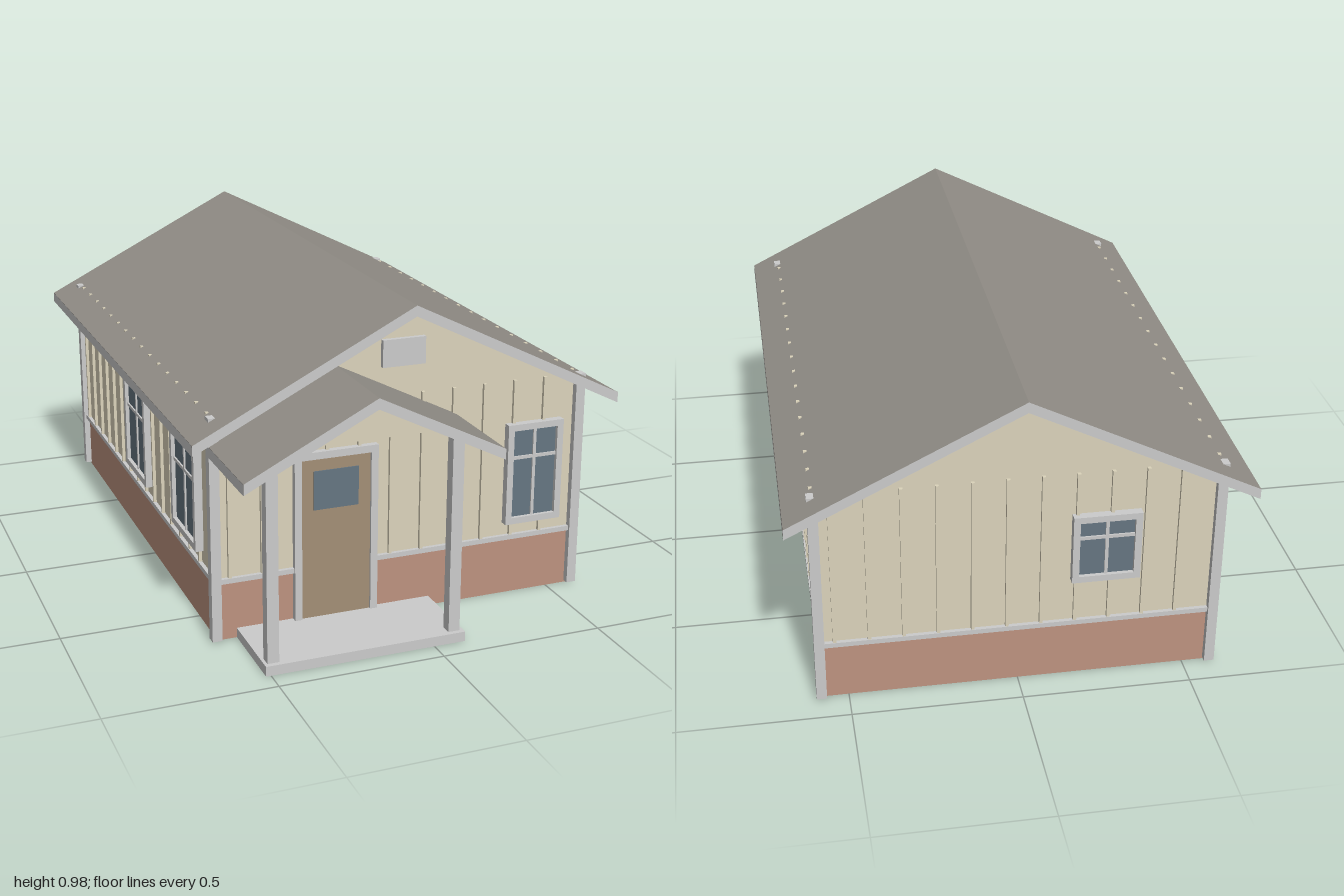
import * as THREE from 'three';

const mat = (color, side = THREE.FrontSide) =>
  new THREE.MeshStandardMaterial({ color, side, flatShading: true });
const TRIM = mat(0xcccccc);
const SIDING = mat(0xdcd4bc, THREE.DoubleSide);
const BRICK = mat(0xbe9380, THREE.DoubleSide);
const ROOF = mat(0x938f88);
const DOOR = mat(0xa48f76);
const GLASS = mat(0x667682);

// House footprint
const HALF_W = 0.575, FRONT = 0.675, BACK = -0.905;
const MID_Z = (FRONT + BACK) / 2, LENGTH = FRONT - BACK;
const BASE = 0.18, WALL_TOP = 0.66, PEAK = 0.945;

function mesh(parent, name, geometry, material) {
  const m = new THREE.Mesh(geometry, material);
  m.name = name;
  parent.add(m);
  return m;
}

// Box given by its minimum and maximum corners
function box(parent, name, material, x0, x1, y0, y1, z0, z1) {
  const m = mesh(parent, name, new THREE.BoxGeometry(x1 - x0, y1 - y0, z1 - z0), material);
  m.position.set((x0 + x1) / 2, (y0 + y1) / 2, (z0 + z1) / 2);
  return m;
}

const shapeOf = (pts) => new THREE.Shape(pts.map(([x, y]) => new THREE.Vector2(x, y)));

// Rectangular casing around an opening, standing off the wall
function casing(parent, name, x0, x1, y0, y1, t, depth, openBottom = false) {
  box(parent, name + 'Side', TRIM, x0, x0 + t, y0, y1, 0, depth);
  box(parent, name + 'Side', TRIM, x1 - t, x1, y0, y1, 0, depth);
  box(parent, name + 'Head', TRIM, x0 + t, x1 - t, y1 - t, y1, 0, depth);
  if (!openBottom) box(parent, name + 'Sill', TRIM, x0 + t, x1 - t, y0, y0 + t, 0, depth);
}

// Window with casing, glass and crossed glazing bars
function addWindow(wall, cx, y0, w, h) {
  const g = new THREE.Group();
  g.name = 'window';
  wall.add(g);
  const x0 = cx - w / 2, x1 = cx + w / 2, y1 = y0 + h, t = 0.02;
  casing(g, 'windowCasing', x0, x1, y0, y1, t, 0.025);
  box(g, 'windowGlass', GLASS, x0 + t, x1 - t, y0 + t, y1 - t, -0.008, 0.013);
  const bar = y0 + h * 0.66;
  box(g, 'verticalGlazingBar', TRIM, cx - 0.005, cx + 0.005, y0 + t, y1 - t, 0.01, 0.018);
  box(g, 'horizontalGlazingBar', TRIM, x0 + t, x1 - t, bar - 0.005, bar + 0.005, 0.01, 0.018);
}

// One wall in local space: x along it, z outwards; gap leaves out the door
function makeWall(house, name, width, gable, firstBatten, gap) {
  const wall = new THREE.Group();
  wall.name = name;
  house.add(wall);
  const h = width / 2;
  const outline = [[-h, BASE], [h, BASE], [h, WALL_TOP]];
  if (gable) outline.push([0, PEAK]);
  outline.push([-h, WALL_TOP]);
  mesh(wall, 'siding', new THREE.ShapeGeometry(shapeOf(outline)), SIDING);
  mesh(wall, 'brickBase', new THREE.ShapeGeometry(shapeOf([[-h, 0], [h, 0], [h, BASE], [-h, BASE]])), BRICK);
  // Ledge between brick and siding
  const runs = gap ? [[-h, gap[0]], [gap[1], h]] : [[-h, h]];
  for (const [a, b] of runs) box(wall, 'baseLedge', TRIM, a, b, BASE, 0.195, 0, 0.012);
  // Vertical battens
  const dir = Math.sign(-firstBatten);
  for (let x = firstBatten; Math.abs(x) < h - 0.01; x += 0.1 * dir) {
    const y0 = gap && x > gap[0] && x < gap[1] ? gap[2] : 0.195;
    box(wall, 'batten', SIDING, x - 0.005, x + 0.005, y0, 0.69, 0, 0.01);
  }
  return wall;
}

// Pitched roof slab with pale edges
function makeRoof(house, name, cx, half, peak, eave, z0, z1) {
  const g = new THREE.Group();
  g.name = name;
  g.position.x = cx;
  house.add(g);
  const t = 0.032;
  const shape = shapeOf([[-half, eave - t], [0, peak - t], [half, eave - t], [half, eave], [0, peak], [-half, eave]]);
  const geo = new THREE.ExtrudeGeometry(shape, { depth: z1 - z0, bevelEnabled: false });
  mesh(g, 'roofSlab', geo, [TRIM, ROOF]).position.z = z0;
  for (const s of [-1, 1]) {
    const f = mesh(g, 'eaveFascia', new THREE.PlaneGeometry(z1 - z0, t), TRIM);
    f.rotation.y = s * Math.PI / 2;
    f.position.set(s * (half + 0.0008), eave - t / 2, (z0 + z1) / 2);
  }
}

export function createModel() {
  const house = new THREE.Group();
  house.name = 'house';

  // Front wall with door, window and gable vent
  const front = makeWall(house, 'frontWall', HALF_W * 2, true, -0.535, [-0.34, -0.08, 0.55]);
  front.position.z = FRONT;
  addWindow(front, 0.432, 0.235, 0.185, 0.32);
  casing(front, 'doorCasing', -0.34, -0.08, 0.03, 0.55, 0.022, 0.02, true);
  box(front, 'door', DOOR, -0.318, -0.102, 0.03, 0.528, -0.008, 0.012);
  box(front, 'doorGlass', GLASS, -0.28, -0.14, 0.37, 0.49, 0.01, 0.015);
  box(front, 'gableVent', TRIM, -0.068, 0.066, 0.778, 0.86, 0, 0.015);

  // Back wall
  const back = makeWall(house, 'backWall', HALF_W * 2, true, -0.535);
  back.position.z = BACK;
  back.rotation.y = Math.PI;
  addWindow(back, 0.25, 0.335, 0.2, 0.22);

  // Side walls
  const left = makeWall(house, 'leftWall', LENGTH, false, -0.75);
  left.position.set(HALF_W, 0, MID_Z);
  left.rotation.y = Math.PI / 2;
  addWindow(left, MID_Z - 0.43, 0.235, 0.255, 0.32);
  addWindow(left, MID_Z + 0.132, 0.27, 0.225, 0.285);

  const right = makeWall(house, 'rightWall', LENGTH, false, 0.75);
  right.position.set(-HALF_W, 0, MID_Z);
  right.rotation.y = -Math.PI / 2;
  addWindow(right, 0.43 - MID_Z, 0.235, 0.255, 0.32);
  addWindow(right, -0.12 - MID_Z, 0.235, 0.255, 0.32);

  // Corner boards
  for (const x of [-0.58, 0.58])
    for (const z of [0.68, -0.91])
      box(house, 'cornerBoard', TRIM, x - 0.015, x + 0.015, 0.006, 0.69, z - 0.015, z + 0.015);

  // Roofs
  makeRoof(house, 'mainRoof', 0, 0.664, 0.977, 0.645, -1, 0.77);
  makeRoof(house, 'porchRoof', -0.21, 0.384, 0.8, 0.607, FRONT, 1);

  // Porch slab, posts and gable infill
  box(house, 'porchSlab', TRIM, -0.515, 0.097, 0, 0.03, 0.672, 0.935);
  for (const x of [-0.488, 0.068])
    box(house, 'porchPost', TRIM, x - 0.0175, x + 0.0175, 0.03, 0.63, 0.885, 0.92);
  const infill = shapeOf([[-0.44, 0.655], [0.02, 0.655], [-0.21, 0.77]]);
  mesh(house, 'porchGable', new THREE.ExtrudeGeometry(infill, { depth: 0.02, bevelEnabled: false }), SIDING)
    .position.z = 0.9;

  return house;
}
